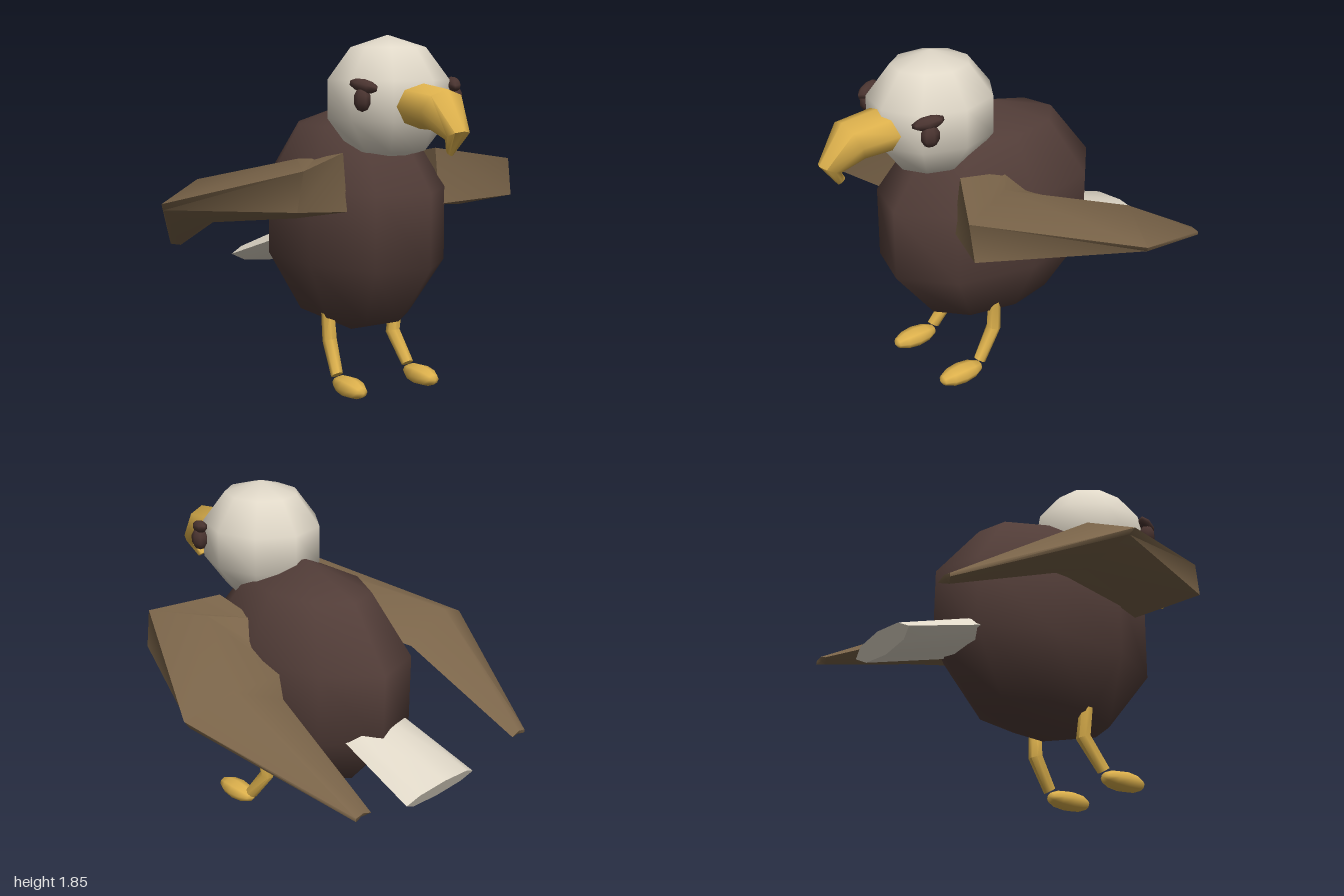
import * as THREE from 'three';
import { mergeVertices, toCreasedNormals } from 'three/addons/utils/BufferGeometryUtils.js';

const V = (x, y, z) => new THREE.Vector3(x, y, z);
const mat = (name, color) => {
  const m = new THREE.MeshStandardMaterial({ color });
  m.name = name;
  return m;
};

// Elliptical ring about a centre, spanned by two half axes
function ring(c, u, v, n) {
  return Array.from({ length: n }, (_, i) => {
    const a = (i / n) * Math.PI * 2;
    return c.clone().addScaledVector(u, Math.cos(a)).addScaledVector(v, Math.sin(a));
  });
}

// Closed skin over a series of rings, always facing outwards
function loft(rings, crease = 0.9) {
  const tris = [];
  const n = rings[0].length;
  for (let r = 0; r < rings.length - 1; r++) {
    for (let i = 0; i < n; i++) {
      const j = (i + 1) % n;
      const a = rings[r][i], b = rings[r][j], c = rings[r + 1][j], d = rings[r + 1][i];
      tris.push([a, b, c], [a, c, d]);
    }
  }
  const centre = (ps) => ps.reduce((s, p) => s.add(p), V(0, 0, 0)).divideScalar(n);
  const first = rings[0], last = rings[rings.length - 1];
  const c0 = centre(first), c1 = centre(last);
  for (let i = 0; i < n; i++) {
    const j = (i + 1) % n;
    tris.push([c0, first[j], first[i]], [c1, last[i], last[j]]);
  }
  const volume = tris.reduce((s, [a, b, c]) => s + a.dot(b.clone().cross(c)), 0);
  if (volume < 0) tris.forEach((t) => t.reverse());
  const g = new THREE.BufferGeometry().setFromPoints(tris.flat());
  return toCreasedNormals(mergeVertices(g), crease);
}

// Coarse, smooth-shaded ellipsoid
function egg(rx, ry, rz, w = 9, h = 5) {
  return new THREE.SphereGeometry(1, w, h).rotateY(Math.PI).scale(rx, ry, rz);
}

export function createModel() {
  const group = new THREE.Group();
  const plumage = mat('dark brown plumage', 0x523d38);
  const wingBrown = mat('wing brown', 0x7a6449);
  const white = mat('off white', 0xe0d8c8);
  const yellow = mat('yellow', 0xdcb04c);
  const eyeBrown = mat('eye brown', 0x4a3430);

  const add = (name, geometry, material, x = 0, y = 0, z = 0) => {
    const m = new THREE.Mesh(geometry, material);
    m.name = name;
    m.position.set(x, y, z);
    group.add(m);
    return m;
  };

  // Body and head
  add('body', egg(0.43, 0.62, 0.685), plumage, 0, 0.88, 0);
  add('head', egg(0.318, 0.32, 0.348), white, 0, 1.53, 0.35);

  // Hooked beak
  add('beak', loft([
    ring(V(0, 1.51, 0.58), V(0.14, 0, 0), V(0, 0.115, 0), 8),
    ring(V(0, 1.495, 0.825), V(0.125, 0, 0), V(0, 0.1, 0.04), 8),
    ring(V(0, 1.38, 0.945), V(0.06, 0, 0), V(0, 0.025, 0.055), 8),
    ring(V(0, 1.297, 0.885), V(0.015, 0, 0), V(0, -0.014, 0.02), 8),
  ], 1.1), yellow);

  // Flattened tail
  add('tail', loft([
    ring(V(0, 0.73, -0.42), V(0.205, 0, 0), V(0, 0.08, -0.035), 8),
    ring(V(0, 0.55, -0.972), V(0.25, 0, 0), V(0, 0.054, -0.026), 8),
  ]), white);

  for (const s of [1, -1]) {
    const side = s > 0 ? 'left' : 'right';

    // Wing: shoulder, front bend, elbow, tip
    const wingRings = [
      [[0.28, 1.27, 0.38], [0.28, 0.98, 0.42], [0.28, 0.95, 0.2], [0.28, 1.04, -0.15], [0.28, 1.22, 0.1]],
      [[0.61, 1.215, 0.57], [0.64, 1.02, 0.56], [0.5, 0.95, 0.3], [0.37, 1.02, -0.19], [0.47, 1.24, 0.25]],
      [[1.0, 0.995, -0.22], [0.98, 0.96, -0.24], [0.72, 0.87, -0.28], [0.47, 0.97, -0.33], [0.76, 1.1, -0.31]],
      [[0.63, 0.66, -1], [0.63, 0.642, -1], [0.58, 0.635, -0.97], [0.53, 0.65, -1], [0.58, 0.67, -1]],
    ].map((r) => r.map(([x, y, z]) => V(s * x, y, z)));
    add(side + 'Wing', loft(wingRings, 1.0), wingBrown);

    // Eye with a slanted brow
    add(side + 'Eye', egg(0.04, 0.06, 0.052, 7, 5), eyeBrown, s * 0.272, 1.54, 0.545);
    const brow = add(side + 'Brow', egg(0.036, 0.033, 0.085, 7, 5), eyeBrown, s * 0.265, 1.605, 0.55);
    brow.lookAt(s * 0.23, 1.588, 0.63);

    // Bent leg
    const legRings = [
      [0.245, 0.46, 0.115, 0.012, 0],
      [0.215, 0.4, 0.118, 0.037, 0],
      [0.2, 0.25, 0.11, 0.04, 0.012],
      [0.222, 0.09, 0.222, 0.032, 0.02],
    ].map(([x, y, z, r, tilt]) => ring(V(s * x, y, z), V(r, 0, 0), V(0, tilt, r * 0.95), 7));
    add(side + 'Leg', loft(legRings, 1.0), yellow);

    // Foot, long axis forwards
    const foot = new THREE.SphereGeometry(1, 8, 6).rotateX(Math.PI / 2).scale(0.066, 0.054, 0.138);
    add(side + 'Foot', foot, yellow, s * 0.222, 0.056, 0.347);
  }

  return group;
}
